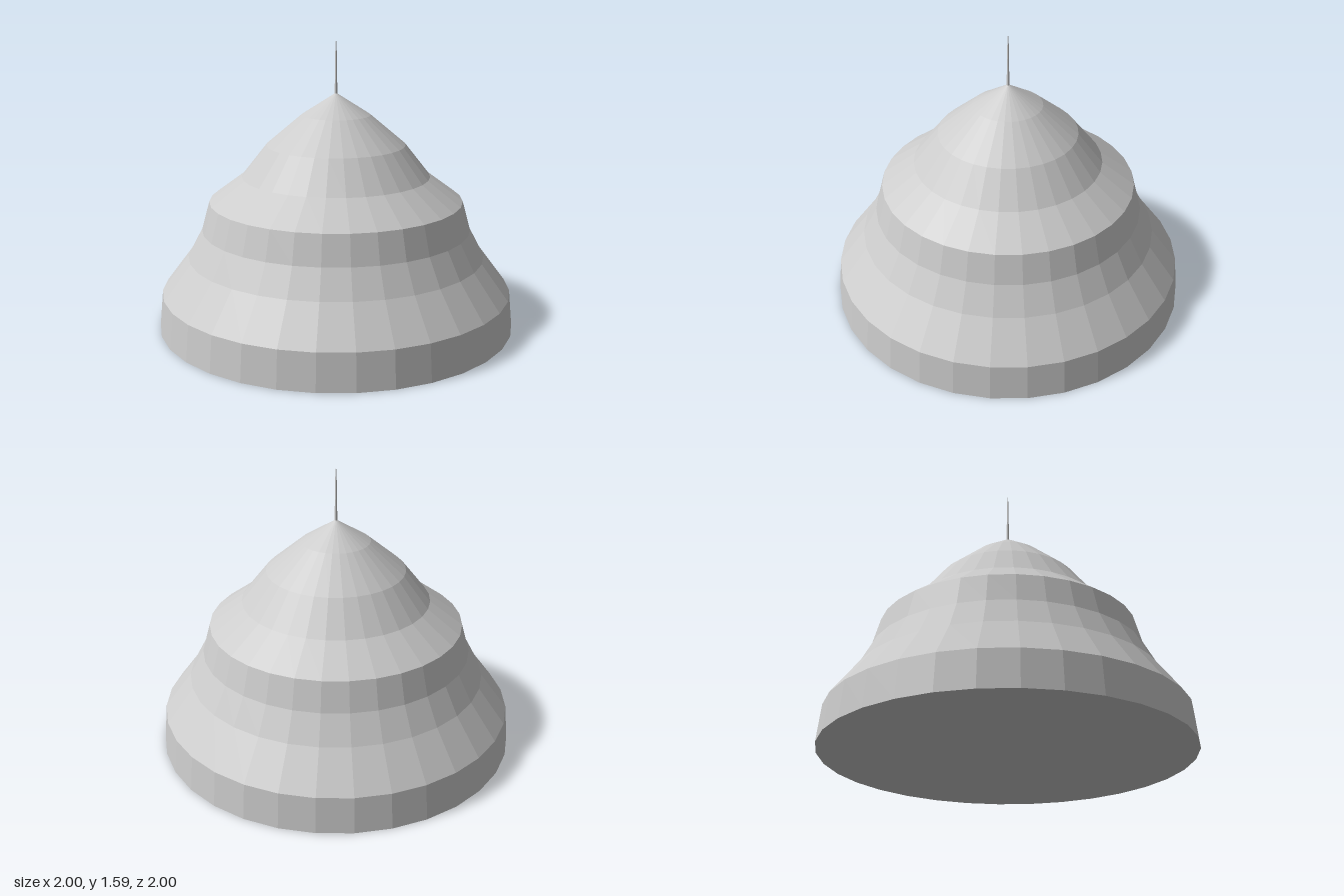
import * as THREE from 'three';

const SIDES = 32;

// Revolves [radius, height] pairs into a faceted solid
function turned(name, profile, sides, material) {
  const points = profile.map(([r, y]) => new THREE.Vector2(r, y));
  const mesh = new THREE.Mesh(new THREE.LatheGeometry(points, sides), material);
  mesh.name = name;
  return mesh;
}

export function createModel() {
  const group = new THREE.Group();
  group.name = 'tieredDome';
  const material = new THREE.MeshStandardMaterial({ color: 0xcccccc, flatShading: true });

  // Flared lower tier with closed underside
  group.add(turned('lowerTier', [
    [0, 0], [1, 0], [0.98, 0.2], [0.83, 0.4], [0.75, 0.55], [0.706, 0.71],
  ], SIDES, material));

  // Bell-shaped upper roof rising to a point
  group.add(turned('upperRoof', [
    [0.706, 0.71], [0.523, 0.845], [0.385, 1.02], [0.19, 1.185], [0, 1.307],
  ], SIDES, material));

  // Thin tapering spire
  group.add(turned('spire', [
    [0.008, 1.29], [0.006, 1.41], [0.004, 1.54], [0.002, 1.588], [0, 1.588],
  ], 8, material));

  return group;
}
